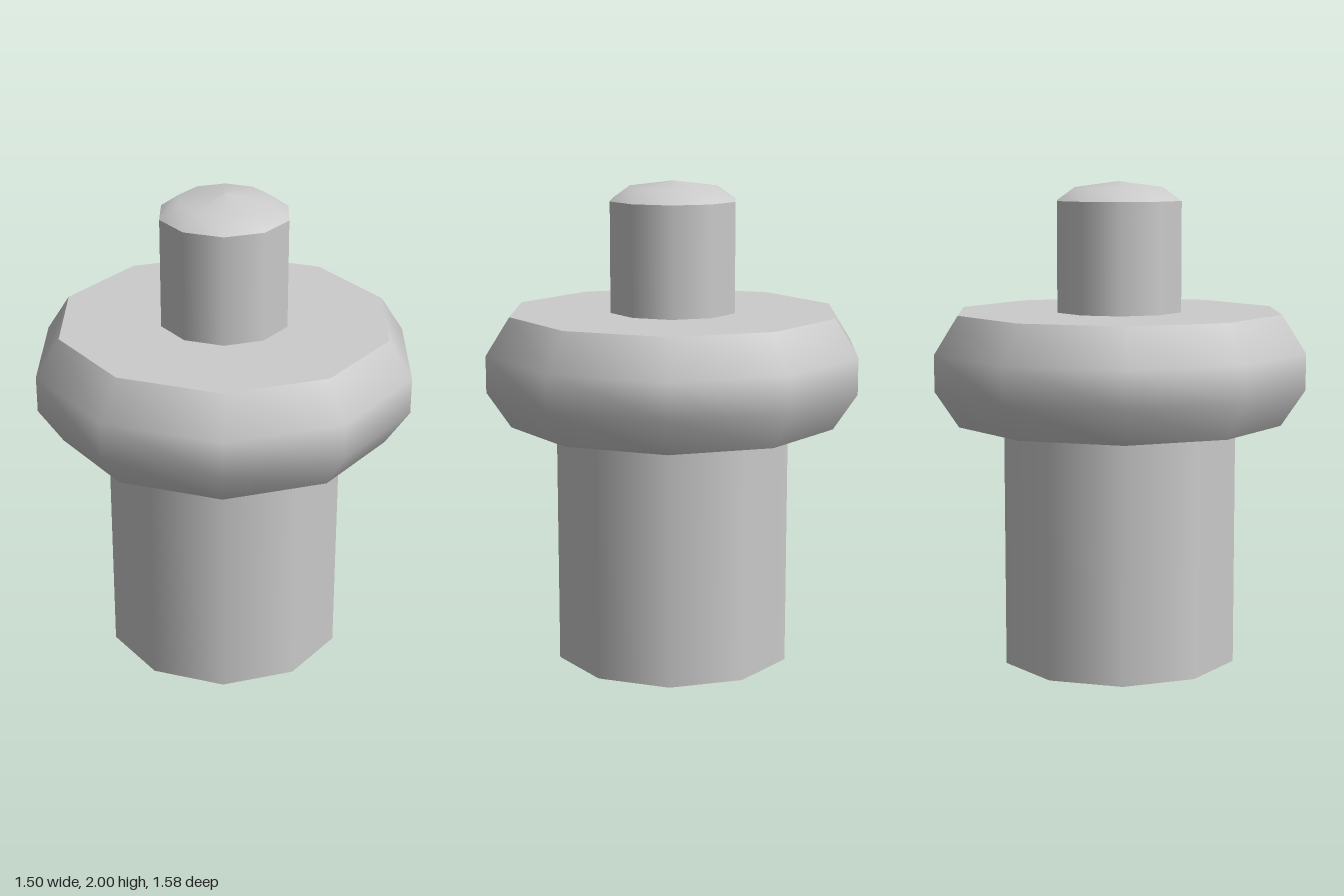
import * as THREE from 'three';
import { mergeGeometries } from 'three/addons/utils/BufferGeometryUtils.js';

const SIDES = 10;

// Each section is a smooth [radius, height] profile, running bottom to top; sections meet in sharp edges.
function turned(name, sections, material) {
  const lathes = sections.map((section) =>
    new THREE.LatheGeometry(section.map(([r, y]) => new THREE.Vector2(r, y)), SIDES));
  const mesh = new THREE.Mesh(mergeGeometries(lathes), material);
  mesh.name = name;
  return mesh;
}

export function createModel() {
  const group = new THREE.Group();
  group.name = 'flangedPin';
  const material = new THREE.MeshStandardMaterial({ color: 0xcccccc });

  // Thick lower shaft with a flat base
  group.add(turned('shaft', [
    [[0, 0], [0.5, 0]],
    [[0.5, 0], [0.5, 1.01]],
  ], material));

  // Wide rounded collar with flat faces
  group.add(turned('collar', [
    [[0, 1.01], [0.69, 1.01]],
    [[0.69, 1.01], [0.79, 1.16], [0.79, 1.31], [0.69, 1.465]],
    [[0.69, 1.465], [0, 1.465]],
  ], material));

  // Narrow upper pin with a shallow domed tip
  group.add(turned('pin', [
    [[0.268, 1.465], [0.268, 1.92]],
    [[0.268, 1.92], [0.19, 1.975], [0, 2]],
  ], material));

  return group;
}
